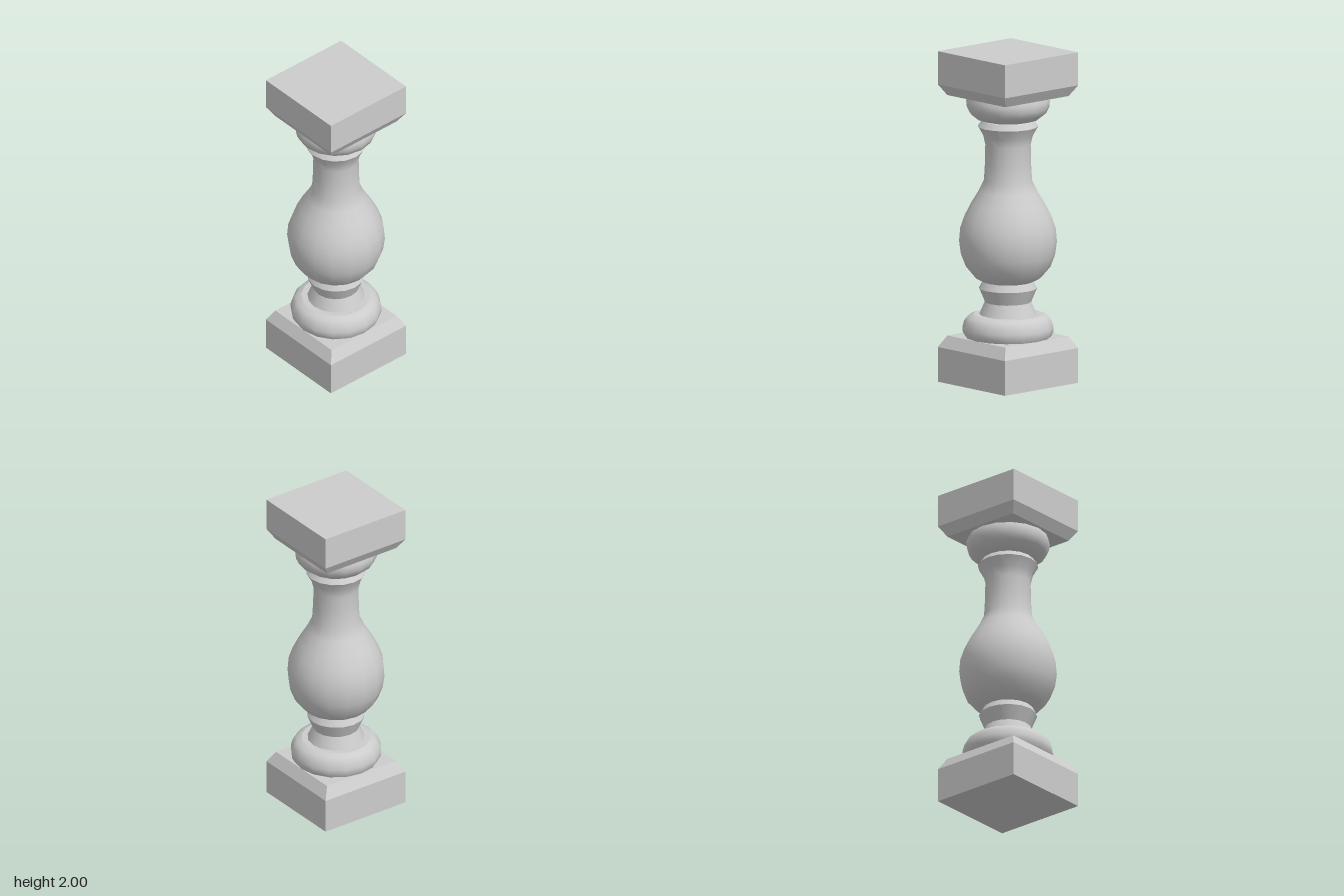
import * as THREE from 'three';

const SIDES = 16;
const toPoints = (profile) => profile.map(([r, y]) => new THREE.Vector2(r, y));

export function createModel() {
  const group = new THREE.Group();
  const stone = new THREE.MeshStandardMaterial({ color: 0xcccccc });
  stone.name = 'stone';

  const add = (name, geometry) => {
    const mesh = new THREE.Mesh(geometry, stone);
    mesh.name = name;
    group.add(mesh);
  };

  // square block with crisp faces; profile gives [half width, height]
  const block = (name, profile) => {
    const points = toPoints(profile.map(([w, y]) => [w * Math.SQRT2, y]));
    const geometry = new THREE.LatheGeometry(points, 4).toNonIndexed();
    geometry.rotateY(Math.PI / 4);
    geometry.computeVertexNormals();
    add(name, geometry);
  };

  // smooth turned section; separate sections keep sharp edges between them
  const turned = (name, profile) => add(name, new THREE.LatheGeometry(toPoints(profile), SIDES));

  // chamfered end blocks
  block('plinth', [[0, 0], [0.295, 0], [0.295, 0.21], [0.255, 0.28], [0, 0.28]]);
  block('capital', [[0, 1.735], [0.255, 1.735], [0.295, 1.8], [0.295, 2], [0, 2]]);

  // base ring
  turned('baseRing', [[0.255, 0.28], [0.269, 0.305], [0.271, 0.335], [0.26, 0.375], [0.238, 0.402], [0.205, 0.415]]);
  turned('baseRingTop', [[0.205, 0.415], [0.16, 0.415]]);

  // waisted collar below the belly
  turned('lowerWaist', [[0.17, 0.415], [0.138, 0.49]]);
  turned('lowerFlare', [[0.138, 0.49], [0.173, 0.573]]);
  turned('lowerBevel', [[0.173, 0.573], [0.15, 0.614]]);

  // vase-shaped belly running into the neck
  turned('bellyAndNeck', [
    [0.15, 0.614], [0.2, 0.64], [0.251, 0.7], [0.28, 0.775], [0.291, 0.855], [0.284, 0.935],
    [0.258, 1.01], [0.22, 1.085], [0.174, 1.16], [0.143, 1.225], [0.137, 1.33], [0.135, 1.44],
    [0.148, 1.495], [0.18, 1.552],
  ]);

  // neck ring and rounded bowl under the capital
  turned('neckBevel', [[0.18, 1.552], [0.155, 1.586]]);
  turned('upperBowl', [[0.14, 1.586], [0.185, 1.598], [0.228, 1.632], [0.245, 1.668], [0.249, 1.705], [0.237, 1.735]]);

  return group;
}
